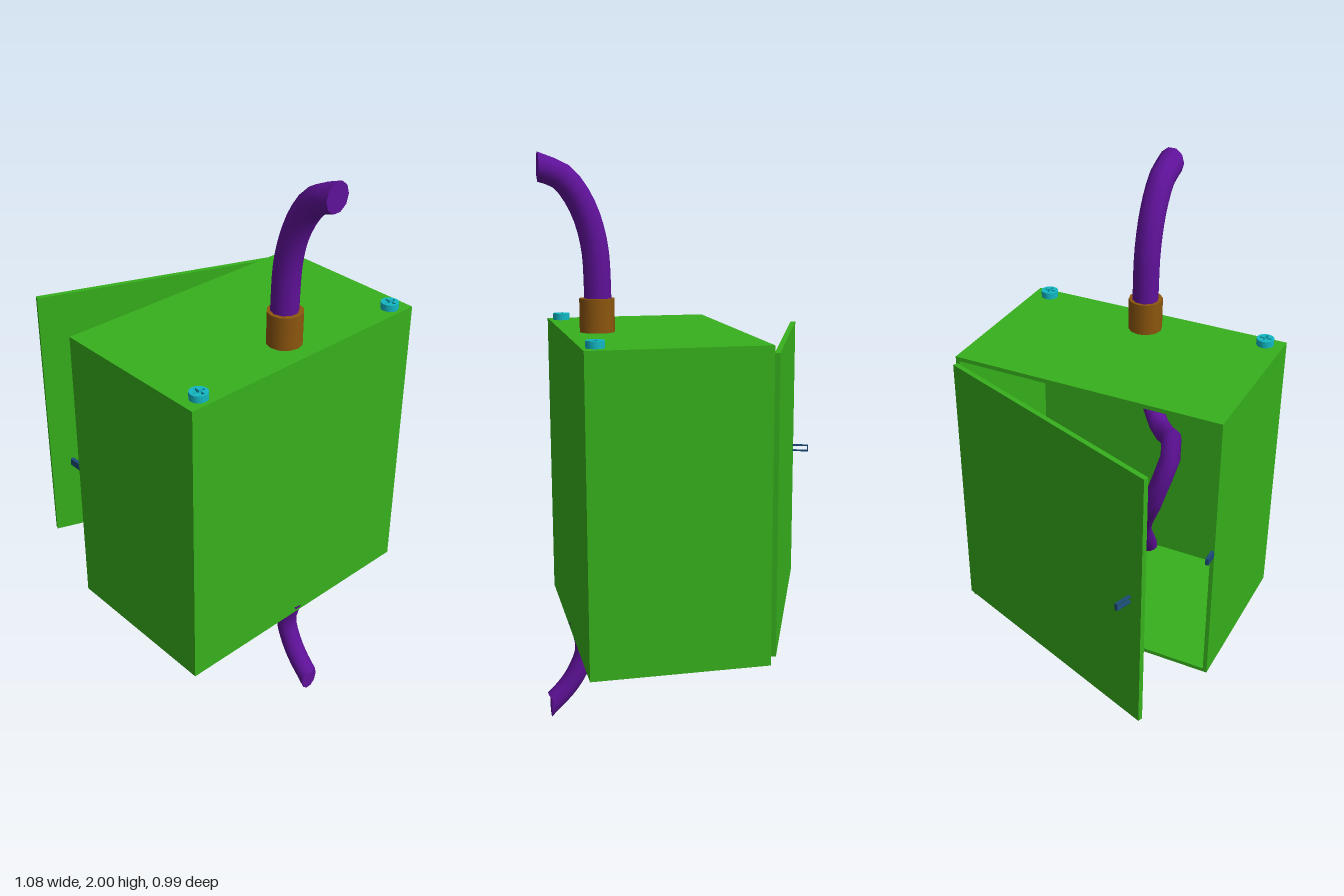
import * as THREE from 'three';

const paint = (color) => new THREE.MeshStandardMaterial({ color });

export function createModel() {
  const model = new THREE.Group();
  const green = paint(0x36b01c), purple = paint(0x5f1299), brown = paint(0x8c560e);
  const cyan = paint(0x12b8c4), blue = paint(0x1b4a78);

  const add = (name, geometry, material, parent = model) => {
    const mesh = new THREE.Mesh(geometry, material);
    mesh.name = name;
    parent.add(mesh);
    return mesh;
  };
  // Box given by its lower and upper corners
  const block = (name, a, b, material, parent) => {
    const g = new THREE.BoxGeometry(b[0] - a[0], b[1] - a[1], b[2] - a[2]);
    g.translate((a[0] + b[0]) / 2, (a[1] + b[1]) / 2, (a[2] + b[2]) / 2);
    return add(name, g, material, parent);
  };

  // Cabinet: five thin panels, open towards -x
  const cabinet = new THREE.Group();
  cabinet.name = 'cabinet';
  model.add(cabinet);
  const x0 = -0.15, x1 = 0.455, y0 = 0.33, y1 = 1.4, d = 0.495, t = 0.015;
  block('topPanel', [x0, y1 - t, -d], [x1, y1, d], green, cabinet);
  block('bottomPanel', [x0, y0, -d], [x1, y0 + t, d], green, cabinet);
  block('mountingPanel', [x1 - t, y0 + t, -d], [x1, y1 - t, d], green, cabinet);
  block('frontPanel', [x0, y0 + t, d - t], [x1 - t, y1 - t, d], green, cabinet);
  block('backPanel', [x0, y0 + t, -d], [x1 - t, y1 - t, -d + t], green, cabinet);
  block('latchTab', [-0.2, 0.867, 0.482], [x0, 0.893, 0.494], blue, cabinet);

  // Door, hinged on the back edge and standing ajar
  const door = new THREE.Group();
  door.name = 'door';
  door.position.set(x0, 0, -0.49);
  door.rotation.y = -Math.atan2(0.335, 0.88);
  model.add(door);
  block('doorPanel', [-0.018, 0.36, 0], [0, 1.375, 0.943], green, door);
  // Latch loop: three slim bars on the outside of the door
  for (const y of [0.867, 0.888]) {
    block('latchBar', [-0.075, y, 0.885], [-0.018, y + 0.005, 0.897], blue, door);
  }
  block('latchEnd', [-0.08, 0.867, 0.885], [-0.075, 0.893, 0.897], blue, door);

  // Cable along a curve; endX slides the last ring onto a vertical cut there
  const cable = (name, points, radius, endX) => {
    const curve = new THREE.CatmullRomCurve3(points.map((p) => new THREE.Vector3(...p)));
    const sides = 10, steps = 18;
    const g = new THREE.TubeGeometry(curve, steps, radius, sides);
    add(name, g, purple);
    if (endX === undefined) return;
    const pos = g.attributes.position, tangent = curve.getTangent(1);
    const rim = [];
    for (let i = 0; i <= sides; i++) {
      const k = steps * (sides + 1) + i;
      const v = new THREE.Vector3().fromBufferAttribute(pos, k);
      v.addScaledVector(tangent, (endX - v.x) / tangent.x);
      v.y = Math.max(0, v.y);
      pos.setXYZ(k, v.x, v.y, v.z);
      if (i < sides) rim.push(new THREE.Vector2(-v.z, v.y));
    }
    const cap = new THREE.ShapeGeometry(new THREE.Shape(rim));
    cap.rotateY(Math.PI / 2).translate(endX, 0, 0);
    add(name + 'End', cap, purple);
  };
  cable('upperCable', [[0.335, 1.3, 0], [0.335, 1.52, 0], [0.345, 1.7, 0], [0.385, 1.83, 0],
    [0.45, 1.92, 0], [0.53, 1.953, 0]], 0.047, 0.53);
  cable('lowerCable', [[0.425, 0.36, 0], [0.403, 0.25, 0], [0.425, 0.18, 0],
    [0.465, 0.115, 0], [0.53, 0.047, 0]], 0.036, 0.53);
  // Slack run between the two openings
  cable('innerCable', [[0.335, 1.34, 0], [0.31, 1.17, 0.03], [0.18, 1.1, 0.14], [0.04, 1.14, 0.25],
    [0, 0.92, 0.2], [0.22, 0.6, 0.06], [0.425, 0.35, 0]], 0.036);

  // Collar where the cable enters the top
  const collar = new THREE.CylinderGeometry(0.061, 0.061, 0.125, 12);
  add('cableCollar', collar, brown).position.set(0.338, 1.453, 0);

  // Cross-recess screws on the top
  const disc = new THREE.Shape().absarc(0, 0, 0.031, 0, Math.PI * 2);
  const a = 0.005, b = 0.022;
  const cross = [[a, a], [a, b], [-a, b], [-a, a], [-b, a], [-b, -a],
    [-a, -a], [-a, -b], [a, -b], [a, -a], [b, -a], [b, a]];
  disc.holes.push(new THREE.Path(cross.map((p) => new THREE.Vector2(...p))));
  const head = new THREE.ExtrudeGeometry(disc, { depth: 0.012, bevelEnabled: false, curveSegments: 10 });
  head.rotateX(-Math.PI / 2);
  for (const z of [-0.43, 0.43]) {
    const screw = new THREE.Group();
    screw.name = 'screw';
    screw.position.set(0.41, y1, z);
    model.add(screw);
    add('screwHead', head, cyan, screw).position.y = 0.012;
    add('screwBase', new THREE.CylinderGeometry(0.031, 0.031, 0.012, 20), cyan, screw).position.y = 0.006;
  }
  return model;
}
